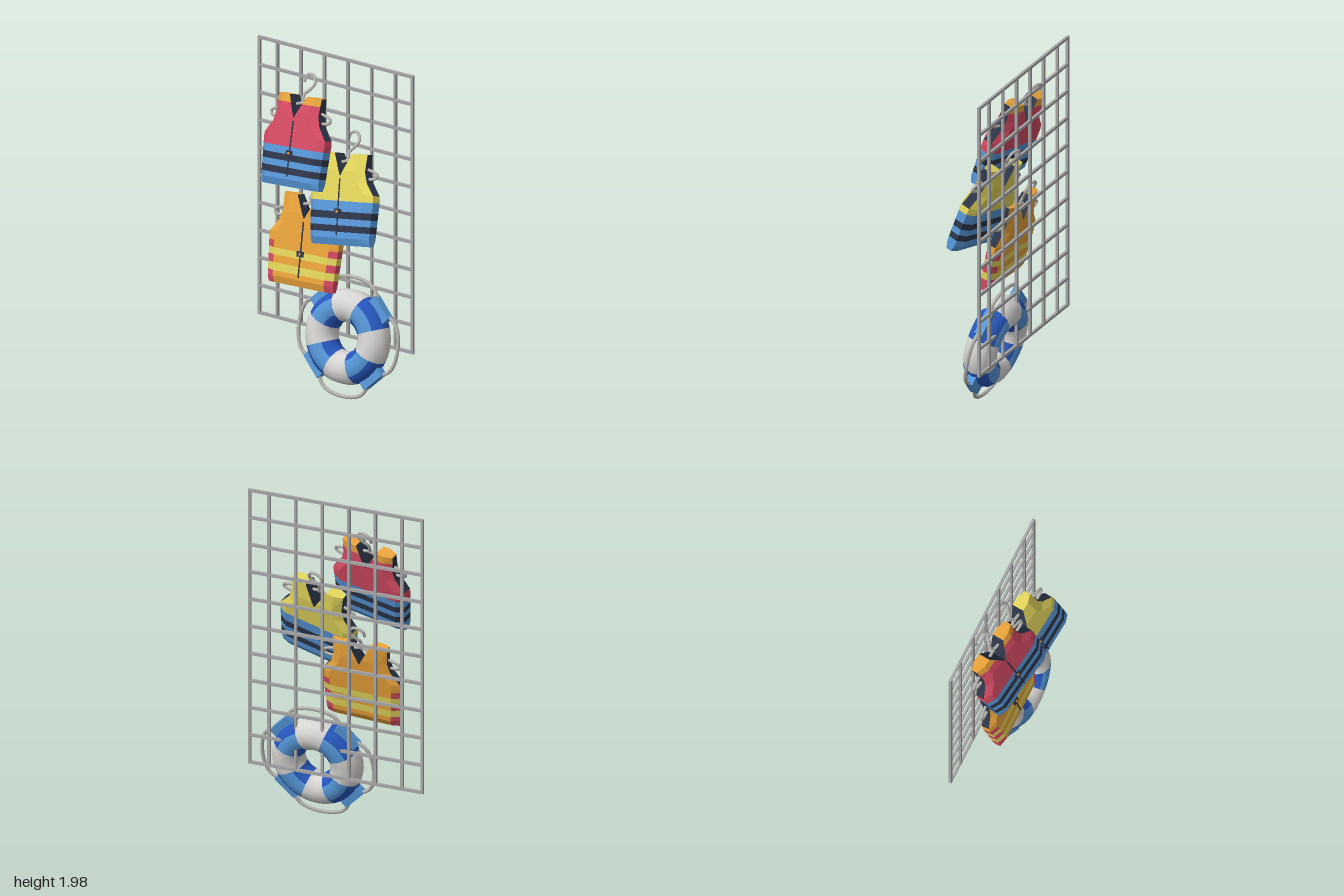
import * as THREE from 'three';

const mat = (name, color) => Object.assign(new THREE.MeshStandardMaterial({ color }), { name });
const M = {
  steel: mat('steel grey', 0xa6a6a6),
  wire: mat('wire grey', 0xb4b3ae),
  white: mat('ring white', 0xd6d5d3),
  blue: mat('light blue', 0x5595d6),
  deep: mat('deep blue', 0x2757bd),
  navy: mat('navy', 0x2c3547),
  red: mat('red', 0xd34a62),
  orange: mat('orange', 0xe8a23a),
  yellow: mat('yellow', 0xe0d35a),
};
const D = Math.PI / 180;

function add(parent, name, geo, material, x = 0, y = 0, z = 0) {
  const mesh = new THREE.Mesh(geo, material);
  mesh.name = name;
  mesh.position.set(x, y, z);
  parent.add(mesh);
  return mesh;
}

function tube(points, radius, closed = false, steps = 40) {
  const curve = new THREE.CatmullRomCurve3(points.map(p => new THREE.Vector3(...p)), closed, 'centripetal');
  return new THREE.TubeGeometry(curve, steps, radius, 7, closed);
}

// Group whose local X runs to -z and local Z to +x, then leans, rolls and yaws
function hung(name, x, y, z, lean, yaw, roll) {
  const g = new THREE.Group();
  g.name = name;
  g.position.set(x, y, z);
  g.rotation.set(lean * D, (90 - yaw) * D, roll * D, 'YXZ');
  return g;
}

// Linear interpolation through [position, value] pairs
function lerp(table, v) {
  if (v <= table[0][0]) return table[0][1];
  for (let i = 1; i < table.length; i++) {
    const [a, p] = table[i - 1], [b, q] = table[i];
    if (v <= b) return p + (q - p) * (v - a) / (b - a);
  }
  return table[table.length - 1][1];
}

// Vest outline: outer edge, neck edge and relative thickness by height
const TOP = 0.52, ARM = 0.29;
const OUTER = [[0, 0.226], [0.26, 0.243], [ARM, 0.24], [0.36, 0.185], [0.42, 0.166], [TOP, 0.17]];
const INNER = [[0.39, 0], [TOP, 0.068]];
const THICK = [[0, 0.6], [0.04, 1], [0.42, 1], [TOP, 0.7]];

// Padded vest lofted from rows; bands are [upper height, face colour, side colour]
function vestBody(half, bands) {
  const cuts = [...OUTER, ...INNER, ...THICK].map(p => p[0]).concat(bands.map(b => b[0]));
  const rows = [...new Set(cuts)].sort((a, b) => a - b);
  const buckets = {};
  const tri = (c, s, ...p) => (buckets[c] ??= []).push(...(s > 0 ? p : [p[0], p[2], p[1]]).flat());
  const section = (v, s) => {
    const o = lerp(OUTER, v), i = lerp(INNER, v), t = half * lerp(THICK, v);
    return [[i, t], [o - 0.05, t], [o, t * 0.5], [o, -t * 0.5], [o - 0.05, -t], [i, -t]]
      .map(([x, z]) => [s * x, v, z]);
  };
  for (const s of [1, -1]) {
    for (let r = 0; r < rows.length - 1; r++) {
      const lo = section(rows[r], s), hi = section(rows[r + 1], s);
      const mid = (rows[r] + rows[r + 1]) / 2;
      const [, face, side] = bands.find(b => mid < b[0]);
      for (let k = 0; k < 6; k++) {
        if (k === 5 && mid < INNER[0][0]) continue;
        let c = face;
        if (k === 5 || (k === 2 && mid > ARM)) c = 'navy';
        else if (k > 0 && k < 4 && mid < ARM) c = side ?? face;
        const n = (k + 1) % 6;
        tri(c, s, lo[k], lo[n], hi[n]);
        tri(c, s, lo[k], hi[n], hi[k]);
      }
    }
    // Hem underside and shoulder tops
    const hem = section(0, s), top = section(TOP, s);
    for (let k = 1; k < 5; k++) {
      tri('navy', s, hem[0], hem[k + 1], hem[k]);
      tri(bands[bands.length - 1][1], s, top[0], top[k], top[k + 1]);
    }
  }
  const geo = new THREE.BufferGeometry(), pos = [], mats = [];
  for (const [c, list] of Object.entries(buckets)) {
    geo.addGroup(pos.length / 3, list.length / 3, mats.length);
    for (const n of list) pos.push(n);
    mats.push(M[c]);
  }
  geo.setAttribute('position', new THREE.Float32BufferAttribute(pos, 3));
  geo.computeVertexNormals();
  return [geo, mats];
}

function vest(name, half, bands, ...place) {
  const g = hung(name, ...place);
  add(g, 'vestBody', ...vestBody(half, bands));
  // Zip and buckle on the chest
  add(g, 'zip', new THREE.BoxGeometry(0.008, 0.32, 0.006), M.navy, 0, 0.215, -half);
  add(g, 'buckle', new THREE.BoxGeometry(0.045, 0.03, 0.016), M.navy, 0, 0.19, -half);
  add(g, 'buckleButton', new THREE.BoxGeometry(0.014, 0.012, 0.008), M.orange, 0, 0.19, -half - 0.007);
  // Wire hanger: shoulder arms with bent ends, and a hook
  for (const s of [1, -1]) {
    add(g, 'hangerArm', tube([[0, 0.48, 0], [s * 0.13, 0.445, 0], [s * 0.235, 0.41, 0],
      [s * 0.23, 0.39, 0], [s * 0.13, 0.38, 0]], 0.009), M.wire);
  }
  add(g, 'hangerHook', tube([[0, 0.47, 0], [0, 0.53, 0.01], [-0.025, 0.56, 0.025], [-0.048, 0.595, 0.035],
    [-0.035, 0.63, 0.04], [0, 0.645, 0.045], [0.037, 0.63, 0.045], [0.045, 0.595, 0.04]], 0.009), M.wire);
  return g;
}

function lifeRing() {
  const g = hung('lifeRing', 0.03, 0.365, 0.155, 11, 0, 0);
  const tubeSides = 12, steps = 6;
  for (let i = 0; i < 8; i++) {
    const geo = new THREE.TorusGeometry(0.18, 0.095, tubeSides, steps, Math.PI / 4);
    let material = M.white;
    if (i % 2) {
      // Blue band: light on the two flat sides, deep on the inner and outer rim
      for (let j = 0; j < tubeSides; j++) {
        geo.addGroup(j * steps * 6, steps * 6, [2, 3, 8, 9].includes(j) ? 0 : 1);
      }
      material = [M.blue, M.deep];
    }
    add(g, i % 2 ? 'blueBand' : 'whiteSection', geo, material).rotation.z = (i - 0.5) * Math.PI / 4;
  }
  // Rope sleeves on the diagonals
  for (let i = 0; i < 4; i++) {
    const a = (i + 0.5) * Math.PI / 2;
    add(g, 'ropeSleeve', new THREE.BoxGeometry(0.055, 0.155, 0.05), M.blue,
      0.283 * Math.cos(a), 0.283 * Math.sin(a), 0).rotation.z = a;
  }
  // Grab rope sagging between the sleeves
  const pts = [];
  for (let i = 0; i < 16; i++) {
    const r = [0.345, 0.34, 0.287, 0.34][i % 4], a = i * Math.PI / 8;
    pts.push([r * Math.cos(a), r * Math.sin(a), 0]);
  }
  add(g, 'grabRope', tube(pts, 0.011, true, 96), M.wire);
  return g;
}

function rack() {
  const g = new THREE.Group();
  g.name = 'wireRack';
  const x = 0.125, low = 0.325, high = 1.992;
  for (const z of [-0.535, -0.41, -0.245, -0.08, 0.085, 0.25, 0.415, 0.535]) {
    add(g, 'verticalBar', new THREE.BoxGeometry(0.016, high - low + 0.016, 0.016), M.steel, x, (low + high) / 2, z);
  }
  for (let i = 0; i <= 10; i++) {
    add(g, 'horizontalBar', new THREE.BoxGeometry(0.015, 0.017, 1.085), M.steel, x, low + (high - low) * i / 10, 0);
  }
  return g;
}

export function createModel() {
  const model = new THREE.Group();
  model.name = 'lifeVestRack';
  model.add(rack(), lifeRing());
  model.add(vest('redVest', 0.055, [
    [0.07, 'blue'], [0.108, 'navy'], [0.145, 'blue'], [0.182, 'navy'], [0.225, 'blue'],
    [0.475, 'red'], [TOP, 'orange'],
  ], -0.115, 1.25, -0.13, 17, 11, -8));
  model.add(vest('yellowVest', 0.055, [
    [0.075, 'blue'], [0.112, 'navy'], [0.15, 'blue'], [0.19, 'navy'], [0.25, 'blue'], [TOP, 'yellow'],
  ], -0.1, 0.97, 0.21, 17, 10, -12));
  model.add(vest('orangeVest', 0.045, [
    [0.07, 'orange', 'red'], [0.115, 'yellow'], [0.16, 'orange', 'red'], [0.2, 'yellow'],
    [0.24, 'orange', 'red'], [TOP, 'orange'],
  ], -0.07, 0.64, -0.095, 13, 1, -3));
  return model;
}
